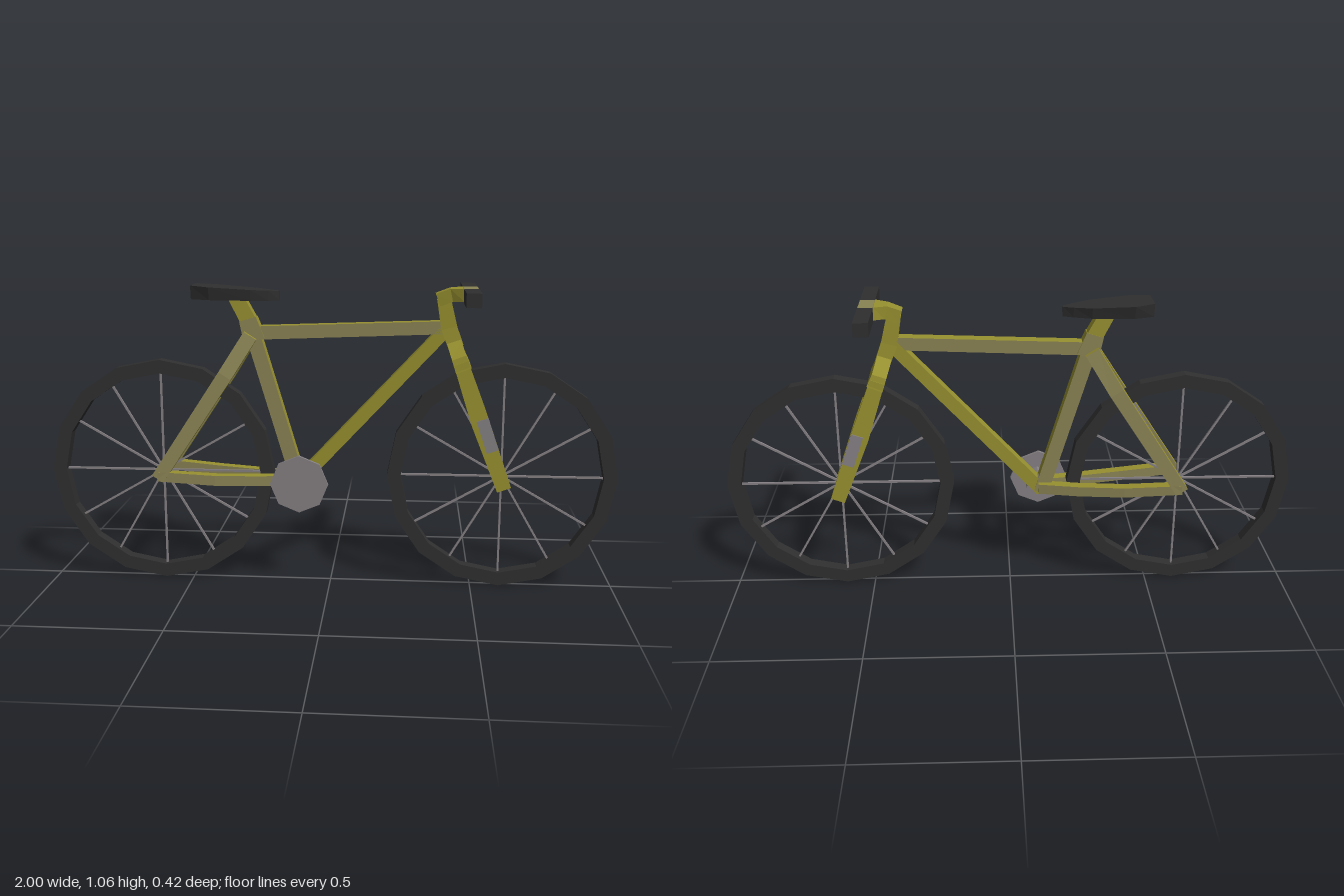
import * as THREE from 'three';

const paint = (name, color) => {
  const m = new THREE.MeshStandardMaterial({ color });
  m.name = name;
  return m;
};

export function createModel() {
  const olive = paint('olive paint', 0x979030);
  const dull = paint('faded olive paint', 0x8a8354);
  const dark = paint('dark rubber', 0x2f2f2f);
  const grey = paint('grey metal', 0x858083);
  const bike = new THREE.Group();
  bike.name = 'bicycle';

  // adds a flat-shaded mesh
  function add(name, geometry, material, parent = bike) {
    const g = geometry.index ? geometry.toNonIndexed() : geometry;
    g.computeVertexNormals();
    const mesh = new THREE.Mesh(g, material);
    mesh.name = name;
    parent.add(mesh);
    return mesh;
  }

  // rectangular tube through stations [x, y, z, width across, depth in z]
  function tube(name, stations, side = dull, edge = olive) {
    const rings = stations.map(([x, y, z, w, d], i) => {
      const a = stations[Math.max(i - 1, 0)], b = stations[Math.min(i + 1, stations.length - 1)];
      const n = new THREE.Vector2(a[1] - b[1], b[0] - a[0]).normalize().multiplyScalar(w / 2);
      return [[1, 1], [-1, 1], [-1, -1], [1, -1]].map(([s, t]) => [x + s * n.x, y + s * n.y, z + t * d / 2]);
    });
    const geo = new THREE.BufferGeometry(), pos = [];
    const quad = (a, b, c, d, mat) => {
      geo.addGroup(pos.length / 3, 6, mat);
      pos.push(...a, ...b, ...c, ...a, ...c, ...d);
    };
    for (let i = 0; i < rings.length - 1; i++) {
      for (let k = 0; k < 4; k++) {
        const l = (k + 1) % 4;
        quad(rings[i][k], rings[i][l], rings[i + 1][l], rings[i + 1][k], k % 2);
      }
    }
    const [p, q, r, s] = rings[0];
    quad(s, r, q, p, 1);
    quad(...rings[rings.length - 1], 1);
    geo.setAttribute('position', new THREE.Float32BufferAttribute(pos, 3));
    return add(name, geo, [side, edge]);
  }

  // wheels: sixteen-sided tyre and twelve spokes
  for (const [name, x] of [['rearWheel', -0.6], ['frontWheel', 0.6]]) {
    const wheel = new THREE.Group();
    wheel.name = name;
    wheel.position.set(x, 0.4, 0);
    bike.add(wheel);
    const r = 0.352, R = 0.4, h = 0.021;
    const profile = [[r, -h], [R, -h], [R, h], [r, h], [r, -h]].map(p => new THREE.Vector2(...p));
    add('tyre', new THREE.LatheGeometry(profile, 16).rotateX(Math.PI / 2), dark, wheel);
    for (let i = 0; i < 6; i++) {
      add('spokePair', new THREE.BoxGeometry(0.71, 0.007, 0.007).rotateZ(i * Math.PI / 6), grey, wheel);
    }
  }

  // main frame
  tube('topTube', [[-0.27, 0.897, 0, 0.046, 0.042], [0.395, 0.922, 0, 0.044, 0.042]]);
  tube('seatTube', [[-0.27, 0.9, 0, 0.05, 0.044], [-0.11, 0.36, 0, 0.05, 0.044]]);
  tube('downTube', [[0.41, 0.93, 0, 0.044, 0.042], [-0.115, 0.365, 0, 0.046, 0.042]], olive);
  tube('seatCluster', [[-0.285, 0.945, 0, 0.06, 0.046], [-0.262, 0.87, 0, 0.075, 0.05]]);
  tube('seatPost', [[-0.325, 1.02, 0, 0.052, 0.042], [-0.27, 0.915, 0, 0.056, 0.044]], olive);

  // rear stays on both sides of the wheel
  for (const s of [1, -1]) {
    tube('seatStay', [
      [-0.275, 0.89, s * 0.02, 0.05, 0.04],
      [-0.36, 0.755, s * 0.055, 0.05, 0.04],
      [-0.6, 0.392, s * 0.086, 0.046, 0.036],
    ]);
    tube('chainStay', [
      [-0.6, 0.4, s * 0.086, 0.034, 0.036],
      [-0.4, 0.385, s * 0.07, 0.036, 0.036],
      [-0.24, 0.38, s * 0.045, 0.036, 0.036],
      [-0.1, 0.38, s * 0.02, 0.036, 0.036],
    ]);
  }

  // steering: head tube, stem, crown and fork legs
  tube('headTube', [[0.385, 1.02, 0, 0.046, 0.042], [0.405, 0.92, 0, 0.055, 0.042], [0.43, 0.855, 0, 0.052, 0.05]], olive);
  tube('stem', [[0.365, 1.015, 0, 0.045, 0.045], [0.41, 1.032, 0, 0.045, 0.055], [0.45, 1.034, 0, 0.044, 0.094]], olive);
  tube('forkCrown', [[0.422, 0.875, 0, 0.05, 0.05], [0.438, 0.828, 0, 0.05, 0.16], [0.455, 0.785, 0, 0.056, 0.175]], olive);
  for (const s of [1, -1]) {
    tube('forkLeg', [
      [0.445, 0.81, s * 0.063, 0.05, 0.046],
      [0.515, 0.61, s * 0.066, 0.062, 0.054],
      [0.603, 0.376, s * 0.07, 0.05, 0.056],
    ], olive);
    // grey panel on the outer face of the leg
    tube('forkPanel', [
      [0.522, 0.62, s * 0.0935, 0.042, 0.006],
      [0.56, 0.51, s * 0.0955, 0.042, 0.006],
    ], grey, grey);
    add('handleGrip', new THREE.BoxGeometry(0.05, 0.046, 0.163).translate(0.475, 1.032, s * 0.1285), dark);
  }
  add('barClamp', new THREE.BoxGeometry(0.05, 0.046, 0.094).translate(0.475, 1.032, 0), dull);

  // pointed saddle, thinner toward the nose
  const half = [[-0.475, 0.05], [-0.41, 0.07], [-0.27, 0.052], [-0.21, 0.027], [-0.175, 0.008]];
  const outline = [...half.map(([x, z]) => [x, -z]), ...half.slice().reverse()];
  const saddle = new THREE.ExtrudeGeometry(
    new THREE.Shape(outline.map(p => new THREE.Vector2(...p))), { depth: 1, bevelEnabled: false });
  saddle.rotateX(Math.PI / 2);
  const p = saddle.attributes.position;
  for (let i = 0; i < p.count; i++) {
    const t = (p.getX(i) + 0.475) / 0.3, top = p.getY(i) > -0.5;
    p.setY(i, top ? 1.061 - 0.02 * t : 1.014 - 0.006 * t);
    if (!top) p.setZ(i, p.getZ(i) * 0.85);
  }
  add('saddle', saddle, dark);

  // crank axle and eight-sided chainring on the left
  add('crankAxle', new THREE.CylinderGeometry(0.042, 0.042, 0.09, 8).rotateX(Math.PI / 2).translate(-0.1, 0.377, 0.025), grey);
  add('chainring', new THREE.CylinderGeometry(0.102, 0.102, 0.012, 8).rotateX(Math.PI / 2).translate(-0.105, 0.376, 0.074), grey);
  return bike;
}
